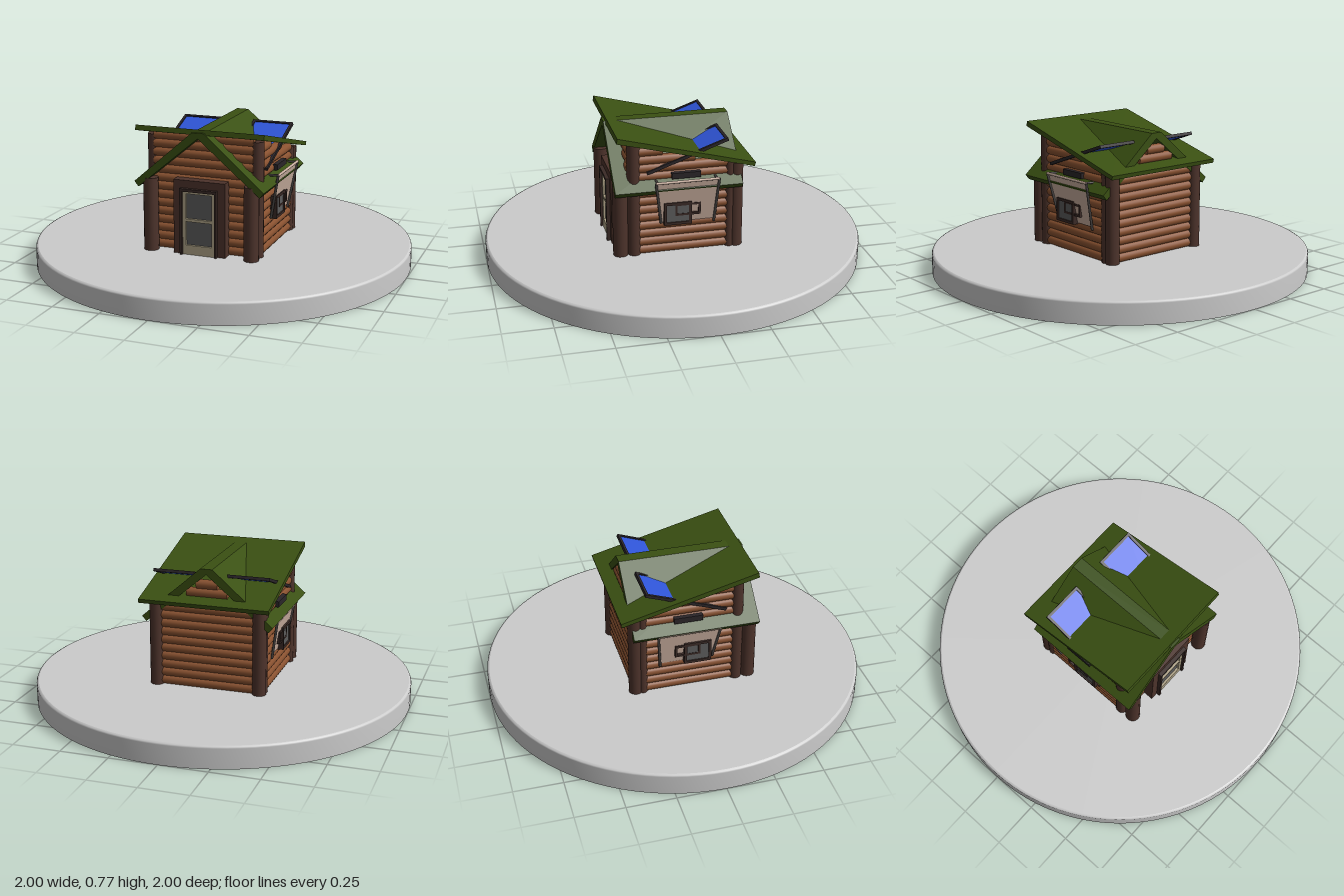
import * as THREE from 'three';

const mat = (color, side = THREE.FrontSide) => new THREE.MeshStandardMaterial({ color, side });
const M = {
  stone: mat(0xcccccc), roof: mat(0x3a5012), log: mat(0x8a5230), post: mat(0x4d332b),
  frame: mat(0x3a2a26), cream: mat(0xb0a488), glass: mat(0x5c5c5c), blue: mat(0x2f55d8),
  blind: mat(0xcbb0a0, THREE.DoubleSide), metal: mat(0x4a4644), dark: mat(0x2a2528),
};
const BASE = 0.115;

function add(parent, name, geo, material, x = 0, y = 0, z = 0) {
  const m = new THREE.Mesh(geo, material);
  m.name = name;
  m.position.set(x, y, z);
  parent.add(m);
  return m;
}

// Box given by its min and max corners
function block(parent, name, material, x0, x1, y0, y1, z0, z1) {
  return add(parent, name, new THREE.BoxGeometry(x1 - x0, y1 - y0, z1 - z0), material,
    (x0 + x1) / 2, (y0 + y1) / 2, (z0 + z1) / 2);
}

// Cylinder running between two points
function rod(parent, name, material, a, b, r, sides = 16) {
  const p = new THREE.Vector3(...a), q = new THREE.Vector3(...b);
  const d = q.clone().sub(p);
  const m = add(parent, name, new THREE.CylinderGeometry(r, r, d.length(), sides), material);
  m.position.copy(p).add(q).multiplyScalar(0.5);
  m.quaternion.setFromUnitVectors(new THREE.Vector3(0, 1, 0), d.normalize());
  return m;
}

function prism(points, depth) {
  const shape = new THREE.Shape(points.map(p => new THREE.Vector2(...p)));
  return new THREE.ExtrudeGeometry(shape, { depth, bevelEnabled: false });
}

// Rectangular border on a side wall (facing x)
function sideFrame(parent, name, material, x0, x1, y0, y1, z0, z1, w) {
  block(parent, name, material, x0, x1, y0, y0 + w, z0, z1);
  block(parent, name, material, x0, x1, y1 - w, y1, z0, z1);
  block(parent, name, material, x0, x1, y0 + w, y1 - w, z0, z0 + w);
  block(parent, name, material, x0, x1, y0 + w, y1 - w, z1 - w, z1);
}

// Underside of the sloping roof at depth z
const roofY = z => 0.742 - (0.36 - z) * 0.264;

function buildWalls() {
  const g = new THREE.Group();
  g.name = 'logWalls';
  const pitch = 0.0445, r = 0.0245;
  for (let i = 0; i < 14; i++) {
    const y = BASE + pitch * (i + 0.5);
    // side logs stop where the roof comes down
    const back = Math.max(-0.27, 0.36 - (0.735 - y) / 0.264);
    if (back < 0.22) {
      for (const s of [-1, 1]) rod(g, 'sideLog', M.log, [s * 0.28, y, back], [s * 0.28, y, 0.27], r);
    }
    rod(g, 'frontLog', M.log, [-0.27, y, 0.28], [0.27, y, 0.28], r);
    // back logs narrow into the gable end above the low eave
    const half = y < 0.57 ? 0.27 : Math.min(0.27, (0.72 - y) / 0.86);
    if (half > 0.02) rod(g, 'backLog', M.log, [-half, y, -0.265], [half, y, -0.265], r);
  }
  for (const s of [-1, 1]) {
    rod(g, 'frontWallPost', M.post, [s * 0.28, BASE, 0.265], [s * 0.28, roofY(0.265), 0.265], 0.034);
    rod(g, 'backPost', M.post, [s * 0.277, BASE, -0.272], [s * 0.277, roofY(-0.272), -0.272], 0.036);
    rod(g, 'backInnerPost', M.post, [s * 0.285, BASE, -0.235], [s * 0.285, roofY(-0.235), -0.235], 0.025);
    rod(g, 'porchPost', M.post, [s * 0.274, BASE, 0.335], [s * 0.274, 0.5, 0.335], 0.039);
  }
  return g;
}

function buildRoof() {
  const g = new THREE.Group();
  g.name = 'roof';
  // sloping slab, high at the front
  const slab = prism([[0.36, 0.745], [0.355, 0.772], [-0.355, 0.588], [-0.35, 0.567]], 0.69);
  slab.translate(0, 0, -0.345).rotateY(-Math.PI / 2);
  add(g, 'slopingRoof', slab, M.roof);
  // gable running front to back through the slab
  const gable = prism([[-0.35, 0.48], [-0.328, 0.453], [0, 0.728], [0.328, 0.453],
    [0.35, 0.48], [0.032, 0.757], [-0.032, 0.757]], 0.66);
  add(g, 'gableRoof', gable, M.roof, 0, 0, -0.29);
  // tilted solar panels
  for (const s of [-1, 1]) {
    const p = new THREE.Group();
    p.name = 'solarPanel';
    p.position.set(s * 0.2, 0.635, -0.01);
    p.rotation.x = Math.atan2(0.15, 0.42);
    block(p, 'panelGlass', M.blue, -0.1, 0.1, -0.003, 0.003, -0.215, 0.215);
    for (const e of [-1, 1]) {
      block(p, 'panelSide', M.dark, e * 0.104 - 0.007, e * 0.104 + 0.007, -0.007, 0.009, -0.223, 0.223);
      block(p, 'panelEnd', M.dark, -0.11, 0.11, -0.007, 0.009, e * 0.216 - 0.007, e * 0.216 + 0.007);
    }
    g.add(p);
  }
  return g;
}

function buildDoor() {
  const g = new THREE.Group();
  g.name = 'door';
  // outer surround, then inner jamb
  for (const s of [-1, 1]) {
    block(g, 'surroundSide', M.post, s * 0.118 - 0.022, s * 0.118 + 0.022, BASE, 0.505, 0.28, 0.355);
    block(g, 'jamb', M.frame, s * 0.094 - 0.006, s * 0.094 + 0.006, BASE, 0.465, 0.28, 0.375);
    block(g, 'doorStile', M.cream, s * 0.08 - 0.009, s * 0.08 + 0.009, BASE, 0.45, 0.335, 0.362);
  }
  block(g, 'surroundTop', M.post, -0.14, 0.14, 0.455, 0.505, 0.28, 0.355);
  block(g, 'lintel', M.frame, -0.1, 0.1, 0.45, 0.465, 0.28, 0.375);
  for (const [y0, y1] of [[BASE, 0.165], [0.29, 0.305], [0.437, 0.45]]) {
    block(g, 'doorRail', M.cream, -0.075, 0.075, y0, y1, 0.335, 0.362);
  }
  block(g, 'doorGlass', M.glass, -0.075, 0.075, 0.16, 0.44, 0.34, 0.35);
  return g;
}

// Side window with a leaning shade; out and top set how far the shade opens
function buildWindow(s, out, top) {
  const g = new THREE.Group();
  g.name = s > 0 ? 'leftWindow' : 'rightWindow';
  const span = (a, b) => s > 0 ? [a, b] : [-b, -a];
  const foot = 0.306, low = 0.285;
  const shade = new THREE.BufferGeometry();
  shade.setAttribute('position', new THREE.Float32BufferAttribute([
    s * foot, low, 0.125, s * foot, low, -0.145, s * out, top, -0.158, s * out, top, 0.16], 3));
  shade.setIndex(s > 0 ? [0, 1, 2, 0, 2, 3] : [0, 2, 1, 0, 3, 2]);
  shade.computeVertexNormals();
  add(g, 'shade', shade, M.blind);
  // rods around the shade
  const x = s * (out + 0.003);
  rod(g, 'shadeTopRod', M.blind, [x, top, 0.165], [x, top, -0.163], 0.007, 10);
  rod(g, 'shadeRod', M.metal, [x, top, 0.165], [s * 0.308, low, 0.13], 0.007, 10);
  rod(g, 'shadeRod', M.metal, [x, top, -0.163], [s * 0.308, low - 0.015, -0.148], 0.007, 10);
  for (const z of [0.155, -0.153]) {
    rod(g, 'shadeBracket', M.metal, [x, top, z], [s * 0.29, top - 0.005, z], 0.006, 10);
  }
  block(g, 'headBox', M.dark, ...span(0.29, 0.322), 0.525, 0.555, -0.075, 0.075);
  // sliding sash in front of a smaller fixed frame
  sideFrame(g, 'sashFrame', M.frame, ...span(0.3, 0.335), 0.278, 0.4, -0.025, 0.118, 0.014);
  block(g, 'sashGlass', M.glass, ...span(0.3, 0.328), 0.29, 0.39, -0.012, 0.106);
  sideFrame(g, 'fixedFrame', M.frame, ...span(0.3, 0.33), 0.325, 0.39, -0.073, 0.06, 0.011);
  return g;
}

export function createModel() {
  const model = new THREE.Group();
  model.name = 'logCabin';
  // round base with a softened rim
  const rim = [[0, 0], [1, 0], [1, 0], [1, 0.103], [0.997, 0.111], [0.988, BASE], [0.988, BASE], [0, BASE]];
  add(model, 'roundBase', new THREE.LatheGeometry(rim.map(p => new THREE.Vector2(...p)), 96), M.stone);
  model.add(buildWalls(), buildRoof(), buildDoor(),
    buildWindow(1, 0.353, 0.522), buildWindow(-1, 0.335, 0.47));
  return model;
}
